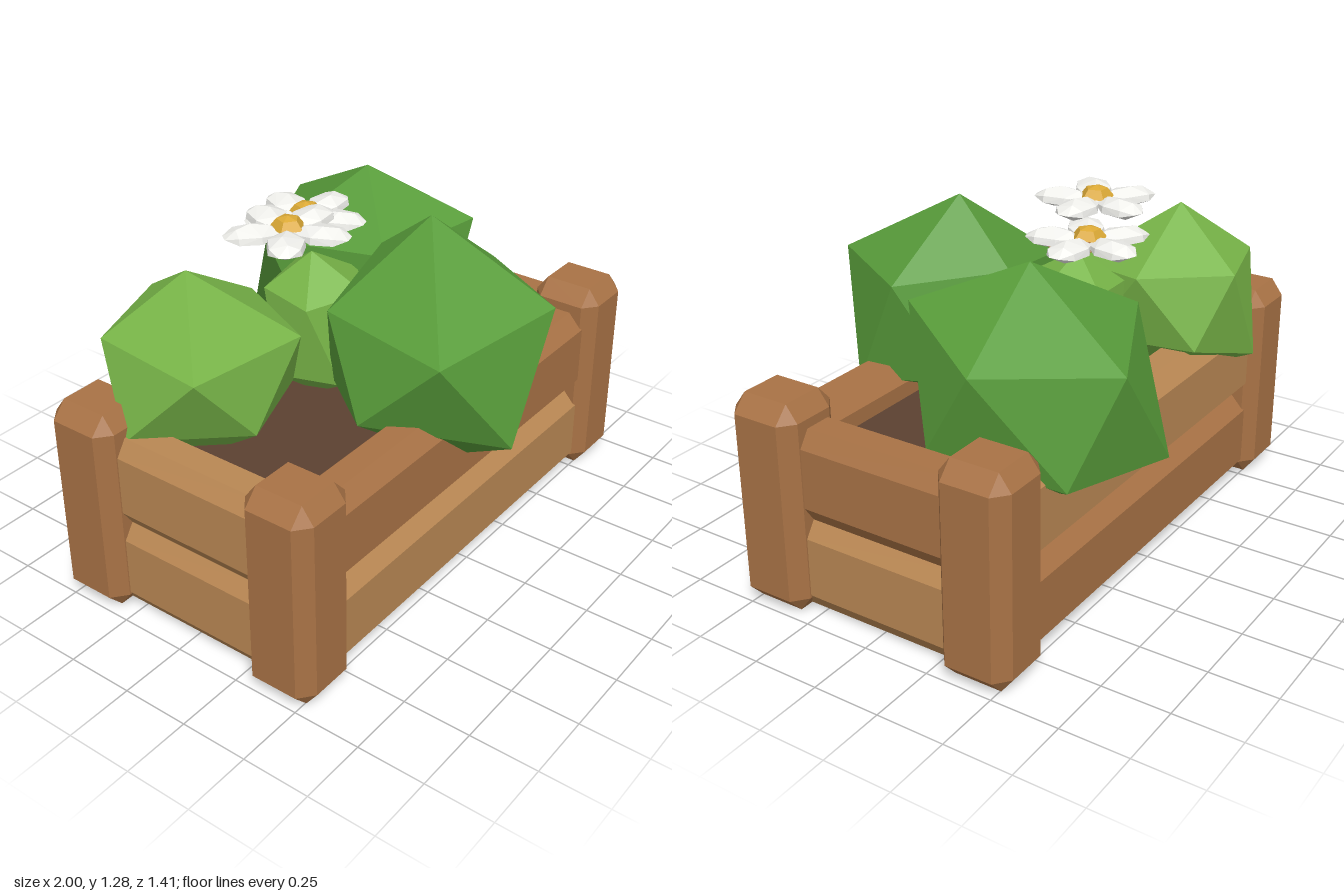
import * as THREE from 'three';
import { ConvexGeometry } from 'three/addons/geometries/ConvexGeometry.js';

const mat = (color) => new THREE.MeshStandardMaterial({ color, flatShading: true });
const wood = mat(0xa87245);
const lightWood = mat(0xb98753);
const soilMat = mat(0x5c4131);
const leaf = mat(0x589c3a);
const lightLeaf = mat(0x78b548);
const petalMat = mat(0xf0f0ec);
const pollen = mat(0xdba936);

const hull = (points) => new ConvexGeometry(points.map((p) => new THREE.Vector3(...p)));

// Box with all edges and corners cut off by (cx, cy, cz)
function chamferBox(w, h, d, cx, cy, cz) {
  const pts = [];
  for (const sx of [-1, 1]) for (const sy of [-1, 1]) for (const sz of [-1, 1]) {
    const x = w / 2, y = h / 2, z = d / 2;
    pts.push([sx * x, sy * (y - cy), sz * (z - cz)]);
    pts.push([sx * (x - cx), sy * y, sz * (z - cz)]);
    pts.push([sx * (x - cx), sy * (y - cy), sz * z]);
  }
  return hull(pts);
}

function add(parent, name, geometry, material, x = 0, y = 0, z = 0) {
  const mesh = new THREE.Mesh(geometry, material);
  mesh.name = name;
  mesh.position.set(x, y, z);
  parent.add(mesh);
  return mesh;
}

function createCrate() {
  const crate = new THREE.Group();
  crate.name = 'crate';

  // Corner posts
  const post = chamferBox(0.265, 0.78, 0.268, 0.055, 0.06, 0.045);
  for (const sx of [-1, 1]) for (const sz of [-1, 1]) {
    add(crate, 'cornerPost', post, wood, sx * 0.8675, 0.39, sz * 0.414);
  }

  // Two planks per wall, in mixed wood tones
  const longPlank = chamferBox(1.64, 0.34, 0.2, 0.04, 0.06, 0.055);
  const shortPlank = chamferBox(0.18, 0.34, 0.72, 0.04, 0.06, 0.04);
  [0.18, 0.517].forEach((y, i) => {
    const a = i ? wood : lightWood;
    const b = i ? lightWood : wood;
    add(crate, 'frontPlank', longPlank, a, 0, y, 0.41);
    add(crate, 'backPlank', longPlank, b, 0, y, -0.41);
    add(crate, 'rightPlank', shortPlank, lightWood, -0.85, y, 0);
    add(crate, 'leftPlank', shortPlank, a, 0.85, y, 0);
  });

  // Soil layer, open underneath
  add(crate, 'soil', new THREE.BoxGeometry(1.6, 0.04, 0.72), soilMat, 0, 0.55, 0);
  return crate;
}

// Uneven twenty-sided bushes: top, upper ring, lower ring, bottom
const bushes = [
  ['frontBush', leaf, [
    [0.09, 1.27, 0.245],
    [0.18, 1.02, 0.69], [-0.33, 0.97, 0.57], [-0.25, 0.99, 0.06], [0.17, 1.06, -0.02], [0.405, 1.01, 0.31],
    [-0.08, 0.6, 0.705], [0.37, 0.6, 0.5], [0.34, 0.68, 0.1], [-0.14, 0.66, -0.01], [-0.375, 0.68, 0.28],
    [-0.03, 0.43, 0.4]]],
  ['leftBush', leaf, [
    [0.41, 1.22, -0.26],
    [0.55, 0.98, -0.7], [0.805, 0.97, -0.29], [0.555, 1.055, 0.12], [0.13, 1.03, 0.02], [0.04, 1.0, -0.45],
    [0.27, 0.59, -0.71], [0.69, 0.61, -0.58], [0.77, 0.66, -0.1], [0.33, 0.6, 0.13], [0.05, 0.66, -0.25],
    [0.43, 0.42, -0.32]]],
  ['rightBush', lightLeaf, [
    [-0.555, 1.16, -0.29],
    [-0.43, 0.97, -0.58], [-0.79, 0.95, -0.47], [-0.83, 0.94, -0.02], [-0.355, 0.93, 0.03], [-0.23, 0.96, -0.29],
    [-0.66, 0.58, -0.57], [-0.3, 0.7, -0.5], [-0.27, 0.68, -0.08], [-0.61, 0.67, 0.04], [-0.9, 0.67, -0.28],
    [-0.56, 0.46, -0.25]]],
  // Small bush below the flowers
  ['middleBush', lightLeaf, [
    [-0.08, 1.09, -0.14],
    [0.02, 0.98, -0.29], [-0.2, 0.96, -0.26], [-0.24, 0.95, -0.04], [-0.04, 0.97, 0.06], [0.13, 0.96, -0.1],
    [-0.08, 0.66, -0.31], [-0.25, 0.66, -0.16], [-0.15, 0.64, 0.04], [0.08, 0.65, 0.03], [0.12, 0.66, -0.22],
    [-0.07, 0.52, -0.13]]],
];

// Petal pointing along +x, a chunky faceted gem
const petal = hull([
  [0.03, 0, -0.03], [0.03, 0, 0.03],
  [0.1, -0.012, -0.064], [0.1, 0.012, -0.06], [0.1, -0.012, 0.064], [0.1, 0.012, 0.06],
  [0.175, -0.01, -0.055], [0.175, 0.012, -0.05], [0.175, -0.01, 0.055], [0.175, 0.012, 0.05],
  [0.215, 0, -0.018], [0.215, 0, 0.018],
  [0.06, 0.025, 0], [0.125, 0.034, 0.01], [0.175, 0.027, -0.01],
  [0.07, -0.03, 0], [0.15, -0.036, 0],
]);

function createFlower(x, y, z, scale) {
  const flower = new THREE.Group();
  flower.name = 'flower';
  for (let i = 0; i < 5; i++) {
    add(flower, 'petal', petal, petalMat).rotation.y = (i * Math.PI * 2) / 5;
  }
  // Domed five-sided centre
  const dome = new THREE.CylinderGeometry(0.038, 0.062, 0.03, 5);
  add(flower, 'flowerCentre', dome, pollen, 0, 0.026, 0);
  add(flower, 'flowerCentreTop', new THREE.ConeGeometry(0.038, 0.01, 5), pollen, 0, 0.046, 0);
  flower.position.set(x, y, z);
  flower.scale.setScalar(scale);
  return flower;
}

export function createModel() {
  const model = new THREE.Group();
  model.name = 'flowerPlanter';
  model.add(createCrate());
  for (const [name, material, points] of bushes) add(model, name, hull(points), material);
  model.add(createFlower(-0.225, 1.23, -0.123, 1.03));
  model.add(createFlower(0.01, 1.168, -0.235, 1.02));
  return model;
}
